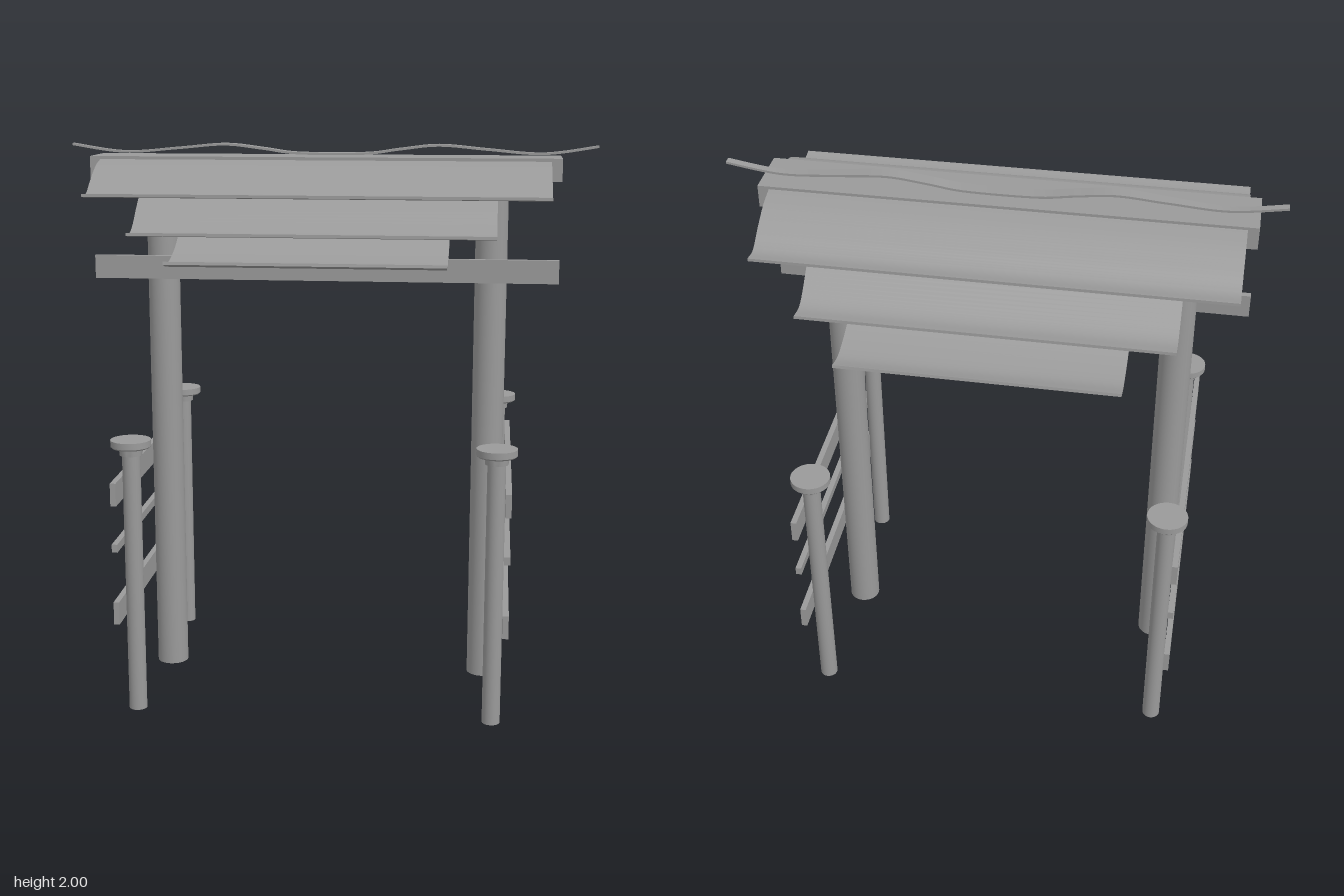
import * as THREE from 'three';
import { toCreasedNormals } from 'three/addons/utils/BufferGeometryUtils.js';

const material = new THREE.MeshStandardMaterial({ color: 0x9a9a9a });

function add(parent, name, geometry, x = 0, y = 0, z = 0) {
  const mesh = new THREE.Mesh(geometry, material);
  mesh.name = name;
  mesh.position.set(x, y, z);
  parent.add(mesh);
  return mesh;
}

// Box given by its lower and upper corners
function box(parent, name, [x0, y0, z0], [x1, y1, z1]) {
  return add(parent, name, new THREE.BoxGeometry(x1 - x0, y1 - y0, z1 - z0),
    (x0 + x1) / 2, (y0 + y1) / 2, (z0 + z1) / 2);
}

// Thin curved sheet: a smooth profile given thickness, then extruded
function sheet(points, thickness, depth, divisions = 32) {
  const curve = new THREE.SplineCurve(points.map(([a, b]) => new THREE.Vector2(a, b)));
  const upper = [], lower = [];
  for (let i = 0; i <= divisions; i++) {
    const p = curve.getPoint(i / divisions);
    const t = curve.getTangent(i / divisions);
    const n = new THREE.Vector2(-t.y, t.x).multiplyScalar(thickness / 2);
    upper.push(p.clone().add(n));
    lower.unshift(p.clone().sub(n));
  }
  const shape = new THREE.Shape([...upper, ...lower]);
  return toCreasedNormals(
    new THREE.ExtrudeGeometry(shape, { depth, bevelEnabled: false }), 0.6);
}

export function createModel() {
  const gate = new THREE.Group();
  gate.name = 'gate';

  // Main posts
  for (const x of [-0.623, 0.581]) {
    add(gate, 'mainPost', new THREE.CylinderGeometry(0.058, 0.058, 1.89, 32), x, 0.952, 0);
  }

  // Top beam and the tie beam fixed to the front of the posts
  box(gate, 'topBeam', [-0.863, 1.877, -0.098], [0.823, 1.957, 0.102]);
  box(gate, 'tieBeam', [-0.863, 1.513, 0.053], [0.823, 1.597, 0.075]);

  // Side railings: capped posts with three rails on the outer face
  const capProfile = [[0, 0.945], [0.04, 0.945], [0.042, 0.972], [0.066, 0.972],
    [0.071, 0.977], [0.071, 1.0], [0, 1.0]].map(([r, y]) => new THREE.Vector2(r, y));
  const capGeometry = toCreasedNormals(new THREE.LatheGeometry(capProfile, 32), 0.5);
  const postGeometry = new THREE.CylinderGeometry(0.032, 0.032, 0.95, 24);
  const sides = [
    { name: 'rightRailing', x: -0.657, rail: [-0.71, -0.69] },
    { name: 'leftRailing', x: 0.617, rail: [0.649, 0.67] },
  ];
  for (const { name, x, rail } of sides) {
    const railing = new THREE.Group();
    railing.name = name;
    gate.add(railing);
    for (const z of [-0.456, 0.46]) {
      add(railing, 'railingPost', postGeometry, x, 0.475, z);
      add(railing, 'postCap', capGeometry, x, 0, z);
    }
    for (const [y0, y1] of [[0.353, 0.435], [0.618, 0.647], [0.785, 0.867]]) {
      box(railing, 'rail', [rail[0], y0, -0.566], [rail[1], y1, 0.566]);
    }
  }

  // Layered curved roof sheets, mirrored front to back: profiles are [z, y]
  const layers = [
    { name: 'upperRoofSheet', x0: -0.825, x1: 0.784,
      profile: [[0.09, 1.944], [0.167, 1.923], [0.246, 1.88], [0.315, 1.836], [0.378, 1.839]] },
    { name: 'middleRoofSheet', x0: -0.642, x1: 0.6,
      profile: [[0.09, 1.934], [0.18, 1.906], [0.27, 1.843], [0.34, 1.79], [0.4, 1.739],
        [0.45, 1.715], [0.511, 1.721]] },
    { name: 'lowerRoofSheet', x0: -0.487, x1: 0.441,
      profile: [[0.09, 1.921], [0.19, 1.883], [0.27, 1.807], [0.35, 1.73], [0.43, 1.675],
        [0.51, 1.643], [0.585, 1.629], [0.65, 1.643]] },
  ];
  for (const { name, x0, x1, profile } of layers) {
    for (const side of [1, -1]) {
      const geometry = sheet(profile.map(([z, y]) => [z * side, y]), 0.01, x1 - x0);
      geometry.rotateY(-Math.PI / 2);
      add(gate, name, geometry, x1);
    }
  }

  // Wavy ridge ribbon, wider over the middle than at its tips
  const half = [[0.12, 1.966], [0.25, 1.982], [0.39, 1.996], [0.56, 1.982], [0.76, 1.968], [0.953, 1.994]];
  const wave = [...half.map(([x, y]) => [-x, y]).reverse(), ...half];
  const ribbon = sheet(wave, 0.008, 1, 80);
  const position = ribbon.attributes.position;
  for (let i = 0; i < position.count; i++) {
    const spread = 1 - THREE.MathUtils.smoothstep(Math.abs(position.getX(i)), 0.35, 0.85);
    position.setZ(i, -0.011 + (position.getZ(i) - 0.5) * (0.028 + 0.022 * spread));
  }
  add(gate, 'ridgeRibbon', ribbon);

  return gate;
}
